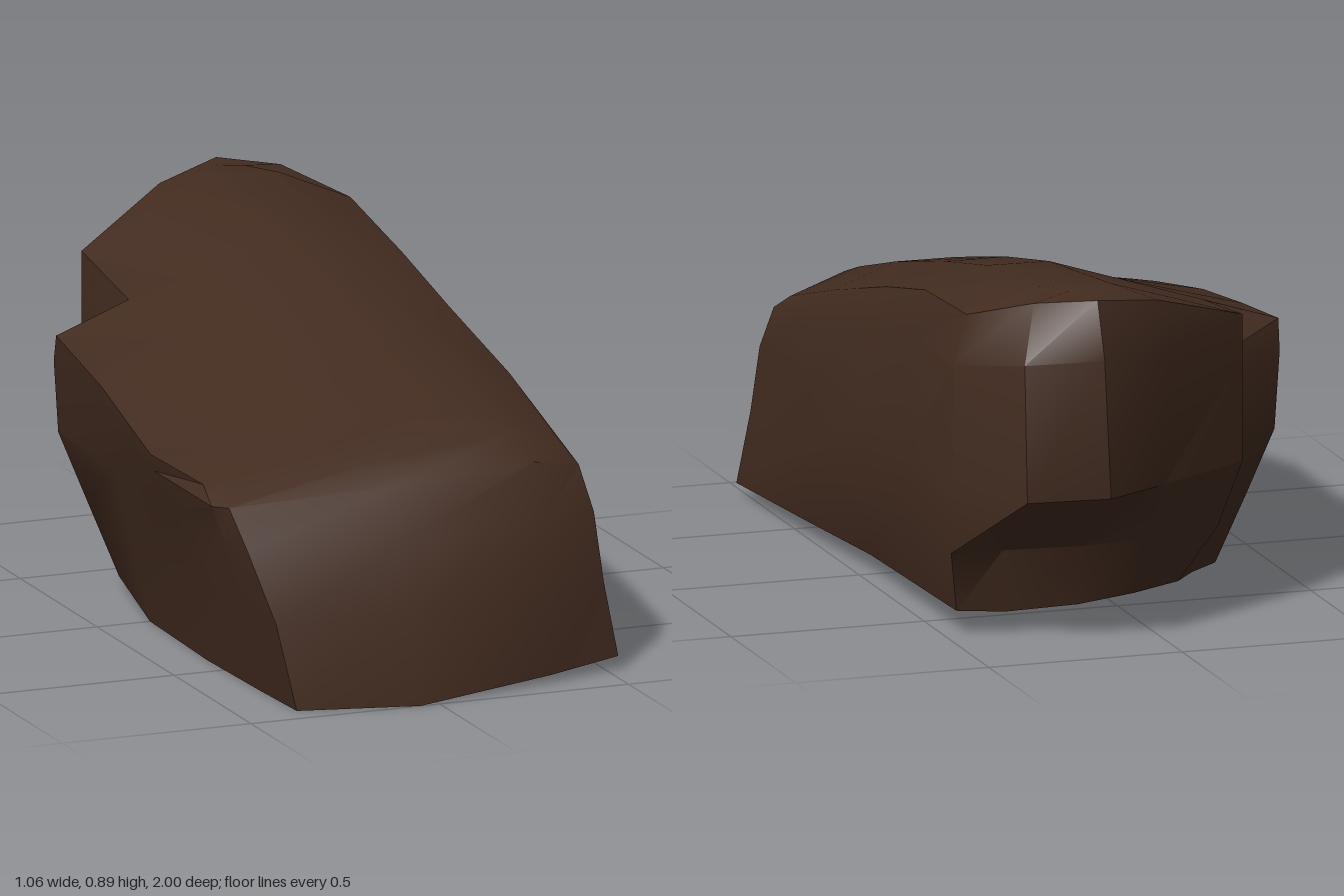
import * as THREE from 'three';
import { toCreasedNormals } from 'three/addons/utils/BufferGeometryUtils.js';

// Plan outlines [x, z], from the front-left corner round the right, back and left sides.
const FOOT = [[-.35, .93], [-.05, 1], [.33, .92], [.53, .86], [.5, .4], [.47, 0], [.47, -.35], [.47, -.66], [.35, -.68],
  [.17, -.7], [.02, -.68], [-.12, -.61], [-.2, -.48], [-.32, -.3], [-.36, 0], [-.37, .4], [-.36, .72]];
const LOW = [[-.4, .92], [-.05, .95], [.33, .91], [.5, .84], [.52, .4], [.52, 0], [.51, -.35], [.5, -.71], [.37, -.72],
  [.17, -.74], [0, -.72], [-.21, -.65], [-.24, -.54], [-.38, -.36], [-.41, 0], [-.42, .4], [-.41, .73]];
// overhanging back
const MIDDLE = [[-.44, .83], [-.05, .88], [.33, .86], [.49, .8], [.5, .4], [.5, 0], [.5, -.35], [.5, -.73], [.38, -.94],
  [.17, -.96], [0, -.86], [-.26, -.69], [-.28, -.57], [-.44, -.4], [-.45, 0], [-.47, .42], [-.46, .73]];
const UPPER = [[-.46, .76], [-.05, .81], [.33, .8], [.47, .75], [.49, .38], [.48, 0], [.48, -.33], [.5, -.73], [.39, -.95],
  [.2, -1], [-.01, -.87], [-.26, -.69], [-.28, -.52], [-.46, -.38], [-.48, 0], [-.52, .42], [-.49, .72]];
// top edge, with the notch at the back
const SHOULDER = [[-.43, .67], [-.05, .72], [.3, .71], [.45, .68], [.45, .35], [.43, 0], [.43, -.3], [.46, -.71], [.34, -.87],
  [.2, -.945], [.02, -.87], [-.26, -.69], [-.27, -.36], [-.47, -.34], [-.49, 0], [-.53, .42], [-.48, .64]];

// Ridge line along the top, and the ridge station each outline point leans to.
const RIDGE_X = 0.12;
const RIDGE_Z = [.6, .38, 0, -.33, -.8];
const STATION = [0, 0, 0, 0, 1, 2, 3, 4, 4, 4, 4, 4, 3, 3, 2, 1, 0];
const RIDGE_HEIGHT = [[-.95, .89], [-.8, .895], [-.58, .87], [-.2, .825], [0, .775], [.17, .75], [.43, .67], [.69, .6], [.84, .5]];

// Height of the sloping top: follows the ridge, falling off to both sides.
function topY(x, z) {
  let k = 0;
  while (k < RIDGE_HEIGHT.length - 2 && z > RIDGE_HEIGHT[k + 1][0]) k++;
  const [z0, y0] = RIDGE_HEIGHT[k];
  const [z1, y1] = RIDGE_HEIGHT[k + 1];
  const y = y0 + (y1 - y0) * (z - z0) / (z1 - z0);
  const leftSlope = Math.min(0.32, 0.27 - 0.17 * z);
  return y - Math.max(0, RIDGE_X - x) * leftSlope - Math.max(0, x - 0.3) * 0.4;
}

// Height of the foot: rises to the right and at the left rear.
function footY(x, z) {
  const rear = 0.25 * Math.max(0, -z - 0.1) * Math.max(0, 0.3 - x);
  return Math.max(0, 0.02 + 0.06 * x - 0.02 * z + rear);
}

function rockGeometry() {
  const n = FOOT.length;
  const onTop = t => SHOULDER.map(([x, z], i) => {
    const px = x + (RIDGE_X - x) * t;
    const pz = z + (RIDGE_Z[STATION[i]] - z) * t;
    return [px, topY(px, pz), pz];
  });
  const edge = onTop(0);
  const rings = [
    FOOT.map(([x, z]) => [x, footY(x, z), z]),
    LOW.map(([x, z]) => [x, .22, z]),
    MIDDLE.map(([x, z]) => [x, .39, z]),
    UPPER.map(([x, z], i) => [x, .39 + .72 * (edge[i][1] - .39), z]),
    edge, onTop(0.5), onTop(1),
  ];

  const positions = rings.flat(2);
  const index = [];
  for (let r = 0; r < rings.length - 1; r++) {
    for (let i = 0; i < n; i++) {
      const a = r * n + i, b = r * n + (i + 1) % n;
      index.push(a, b, b + n, a, b + n, a + n);
    }
  }
  // underside
  const centre = positions.length / 3;
  positions.push(0.06, 0.02, 0.1);
  for (let i = 0; i < n; i++) index.push(centre, (i + 1) % n, i);

  // drop the empty triangles where points share a ridge station
  const kept = [];
  const p = k => new THREE.Vector3().fromArray(positions, k * 3);
  for (let i = 0; i < index.length; i += 3) {
    const t = index.slice(i, i + 3);
    if (new THREE.Triangle(...t.map(p)).getArea() > 1e-7) kept.push(...t);
  }
  const geometry = new THREE.BufferGeometry();
  geometry.setAttribute('position', new THREE.Float32BufferAttribute(positions, 3));
  geometry.setIndex(kept);
  return toCreasedNormals(geometry, 0.6);
}

export function createModel() {
  const group = new THREE.Group();
  group.name = 'boulder';
  const stone = new THREE.MeshStandardMaterial({ color: 0x432c20 });
  stone.name = 'brown stone';
  const rock = new THREE.Mesh(rockGeometry(), stone);
  rock.name = 'rock';
  group.add(rock);
  return group;
}
